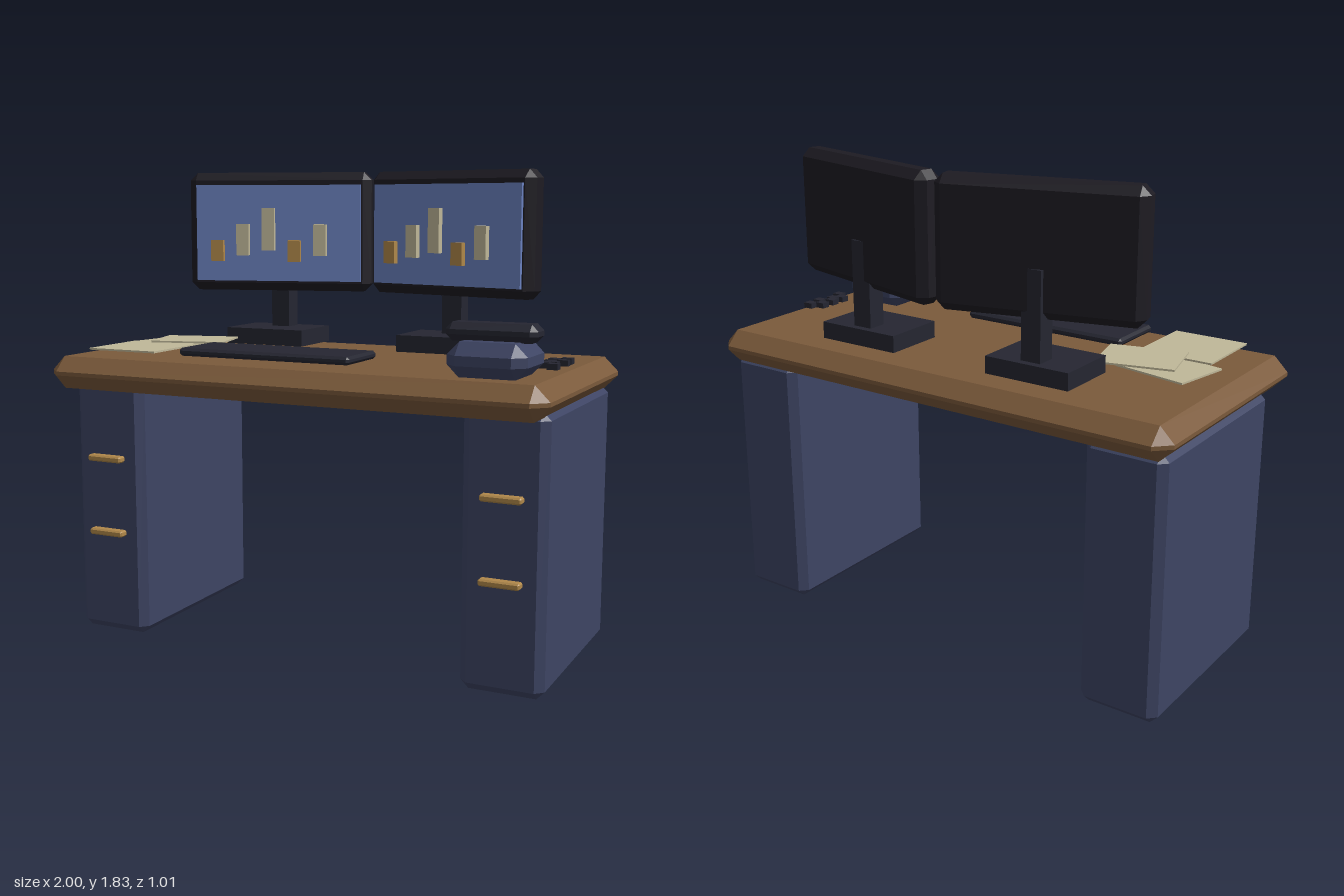
import * as THREE from 'three';
import { ConvexGeometry } from 'three/addons/geometries/ConvexGeometry.js';

const mat = (name, color) => {
  const m = new THREE.MeshStandardMaterial({ color });
  m.name = name;
  return m;
};

// Box with every edge cut at 45 degrees
function chamferBox(w, h, d, c) {
  const pts = [];
  for (const sx of [-1, 1]) for (const sy of [-1, 1]) for (const sz of [-1, 1]) {
    const x = w / 2, y = h / 2, z = d / 2;
    pts.push(
      new THREE.Vector3(sx * x, sy * (y - c), sz * (z - c)),
      new THREE.Vector3(sx * (x - c), sy * y, sz * (z - c)),
      new THREE.Vector3(sx * (x - c), sy * (y - c), sz * z)
    );
  }
  return new ConvexGeometry(pts);
}

export function createModel() {
  const model = new THREE.Group();
  model.name = 'officeDesk';

  const wood = mat('wood', 0x7b5a3b);
  const navy = mat('navy', 0x3d4463);
  const dark = mat('charcoal', 0x252631);
  const black = mat('black', 0x1d1b22);
  const blue = mat('screenBlue', 0x6b82c0);
  const cream = mat('cream', 0xc0b899);
  const amber = mat('amber', 0xb0884a);

  // Adds a box (chamfered when c > 0) centred at the given point
  function add(parent, name, material, size, pos, c = 0) {
    const geo = c > 0 ? chamferBox(...size, c) : new THREE.BoxGeometry(...size);
    const mesh = new THREE.Mesh(geo, material);
    mesh.name = name;
    mesh.position.set(...pos);
    parent.add(mesh);
    return mesh;
  }

  // Desktop
  add(model, 'desktop', wood, [2, 0.125, 1.01], [0, 1.0525, 0], 0.055);

  // Pedestals with drawer handles, and the monitors
  for (const s of [-1, 1]) {
    const side = s > 0 ? 'left' : 'right';
    add(model, side + 'Pedestal', navy, [0.31, 1.01, 0.81], [s * 0.815, 0.505, -0.045], 0.03);
    for (const y of [0.41, 0.708]) {
      add(model, side + 'Handle', amber, [0.152, 0.025, 0.04], [s * 0.815, y, 0.376], 0.006);
    }

    // Monitor stand
    add(model, side + 'MonitorBase', dark, [0.345, 0.065, 0.25], [s * 0.38, 1.1625, -0.25]);
    add(model, side + 'MonitorPost', dark, [0.08, 0.345, 0.076], [s * 0.38, 1.3525, -0.308]);

    // Monitor turned towards the middle of the desk
    const monitor = new THREE.Group();
    monitor.name = side + 'Monitor';
    monitor.position.set(s * 0.381, 1.585, -0.285);
    monitor.rotation.y = -s * 0.25;
    model.add(monitor);
    add(monitor, 'housing', black, [0.765, 0.482, 0.11], [0, 0, 0], 0.032);
    add(monitor, 'screen', blue, [0.69, 0.39, 0.02], [0, -0.005, 0.057]);

    // Bar chart on the screen: [bottom, top]
    const bars = [[1.465, 1.552], [1.49, 1.617], [1.51, 1.682], [1.465, 1.552], [1.49, 1.617]];
    bars.forEach(([lo, hi], i) => {
      add(monitor, 'chartBar', i % 3 === 0 ? amber : cream, [0.052, hi - lo, 0.026],
        [-0.036 + (i - 2) * 0.108, (lo + hi) / 2 - 1.585, 0.077]);
    });
  }

  // Keyboard
  add(model, 'keyboard', dark, [0.705, 0.03, 0.245], [-0.102, 1.15, 0.278], 0.01);

  // Loose sheets of paper: x, y, z, depth, turn
  const sheets = [
    [-0.72, 1.138, 0.035, 0.23, -0.185],
    [-0.692, 1.146, 0.28, 0.3, 0],
    [-0.61, 1.156, 0.033, 0.226, 0.25],
  ];
  for (const [x, y, z, depth, turn] of sheets) {
    add(model, 'paper', cream, [0.295, 0.007, depth], [x, y, z]).rotation.y = turn;
  }

  // Telephone
  add(model, 'phoneBody', navy, [0.288, 0.125, 0.272], [0.752, 1.175, 0.28], 0.045);
  add(model, 'phoneHandset', dark, [0.332, 0.065, 0.112], [0.747, 1.266, 0.283], 0.024);

  // Zigzag telephone cord
  [0.907, 0.868, 0.91, 0.868, 0.888, 0.868, 0.908].forEach((x, i) => {
    add(model, 'phoneCord', dark, [0.04, 0.022, 0.036], [x, 1.137, -0.065 + i * 0.03]);
  });

  return model;
}
